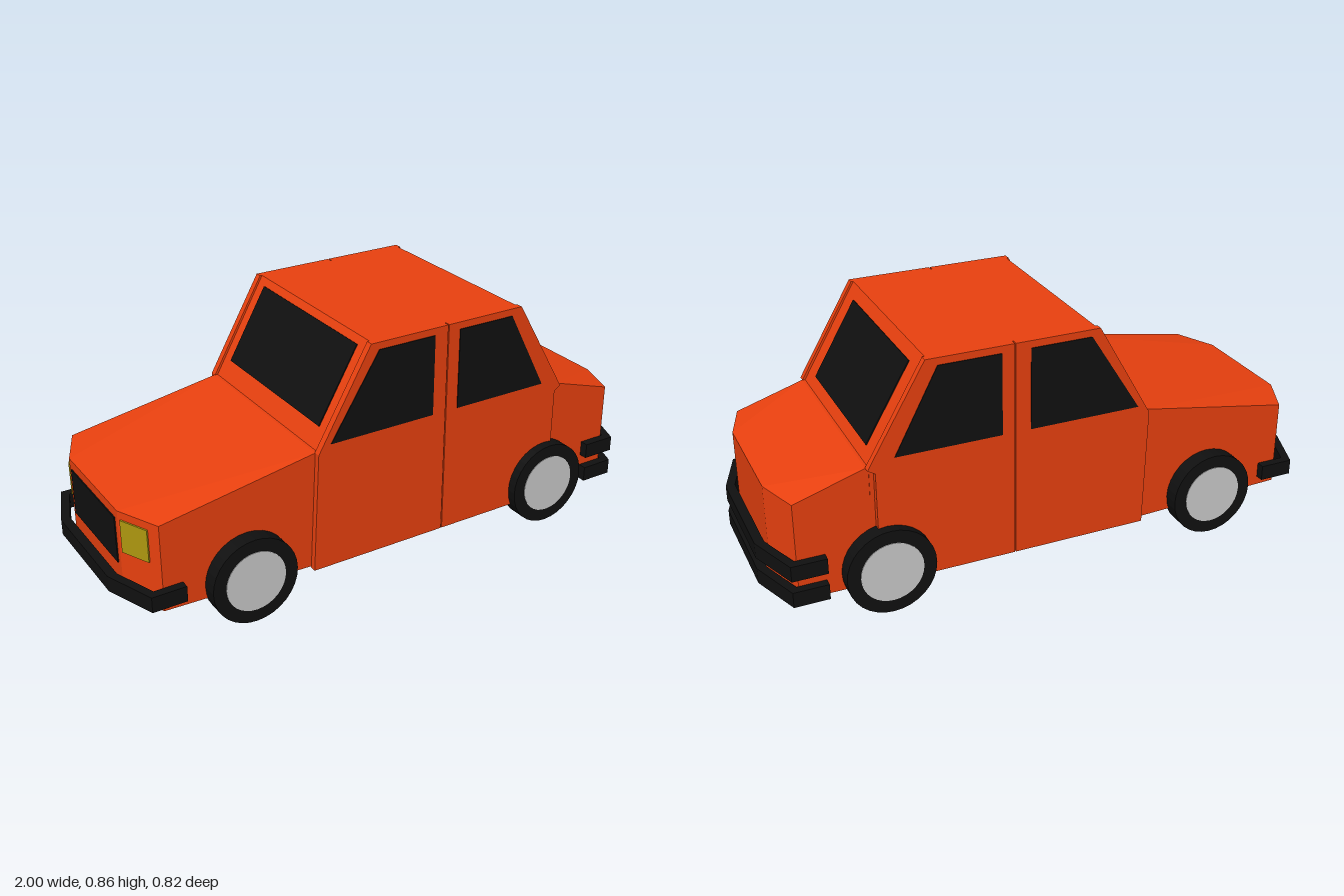
import * as THREE from 'three';
import { ConvexGeometry } from 'three/addons/geometries/ConvexGeometry.js';

const mat = (color) => new THREE.MeshStandardMaterial({ color, flatShading: true });

export function createModel() {
  const car = new THREE.Group();
  car.name = 'car';
  const paint = mat(0xeb410f), black = mat(0x101010), lamp = mat(0xb09a10), grey = mat(0xcccccc);

  const add = (name, geometry, material) => {
    const mesh = new THREE.Mesh(geometry, material);
    mesh.name = name;
    car.add(mesh);
    return mesh;
  };
  // Side outline (x, y) extruded from z0 to z1
  const slab = (name, pts, z0, z1, material) => {
    const shape = new THREE.Shape(pts.map((p) => new THREE.Vector2(...p)));
    const mesh = add(name, new THREE.ExtrudeGeometry(shape, { depth: z1 - z0, bevelEnabled: false }), material);
    mesh.position.z = z0;
    return mesh;
  };
  // Thin box lying along the line from a to b in the (x, y) plane
  const pane = (name, a, b, width, material) => {
    const dx = b[0] - a[0], dy = b[1] - a[1];
    const mesh = add(name, new THREE.BoxGeometry(Math.hypot(dx, dy), 0.008, width), material);
    mesh.position.set((a[0] + b[0]) / 2, (a[1] + b[1]) / 2, 0);
    mesh.rotation.z = Math.atan2(dy, dx);
    return mesh;
  };

  // Lower body: stations of x, half width, bottom and top
  const hull = [];
  for (const [x, w, y0, y1] of [
    [-0.95, 0.2, 0.115, 0.42], [-0.88, 0.353, 0.113, 0.42], [-0.33, 0.353, 0.095, 0.515],
    [0.665, 0.353, 0.091, 0.515], [0.905, 0.353, 0.09, 0.44], [0.957, 0.2, 0.09, 0.44],
  ]) {
    for (const z of [-w, w]) hull.push(new THREE.Vector3(x, y0, z), new THREE.Vector3(x, y1, z));
  }
  add('lowerBody', new ConvexGeometry(hull), paint);

  // Cabin core, set slightly inside the pillars
  slab('cabin', [[-0.32, 0.4], [0.655, 0.4], [0.655, 0.515], [0.457, 0.855], [-0.127, 0.855], [-0.32, 0.515]],
    -0.355, 0.355, paint);
  pane('windshield', [-0.285, 0.577], [-0.141, 0.83], 0.61, black);
  pane('rearWindow', [0.633, 0.553], [0.48, 0.815], 0.555, black);

  // Door panels with side windows
  for (const s of [-1, 1]) {
    const side = s > 0 ? 'left' : 'right';
    const panel = (name, pts, a, b, m) => slab(side + name, pts, Math.min(s * a, s * b), Math.max(s * a, s * b), m);
    const sill = s > 0 ? -0.35 : -0.32;
    panel('FrontDoor', [[sill, 0.09], [0.162, 0.09], [0.162, 0.855], [-0.135, 0.855], [-0.33, 0.515]], 0.35, 0.375, paint);
    panel('RearDoor', [[0.166, 0.09], [0.64, 0.09], [0.64, 0.5], [0.665, 0.515], [0.465, 0.855], [0.166, 0.855]],
      0.35, 0.375, paint);
    panel('FrontWindow', [[-0.285, 0.545], [0.11, 0.545], [0.11, 0.83], [-0.105, 0.83]], 0.37, 0.378, black);
    panel('RearSideWindow', [[0.21, 0.545], [0.575, 0.545], [0.425, 0.83], [0.21, 0.83]], 0.37, 0.378, black);

    // Headlight on the slanted nose corner
    const light = add(side + 'Headlight', new THREE.BoxGeometry(0.01, 0.115, 0.11), lamp);
    light.position.set(-0.922, 0.335, s * 0.262);
    light.rotation.y = s * Math.atan2(0.07, 0.153);

    // Wheels
    for (const [end, x] of [['Front', -0.585], ['Rear', 0.61]]) {
      const tyre = add(side + end + 'Tyre', new THREE.CylinderGeometry(0.152, 0.152, 0.068, 32), black);
      const hub = add(side + end + 'Hub', new THREE.CylinderGeometry(0.107, 0.107, 0.01, 32), grey);
      tyre.position.set(x, 0.152, s * 0.375);
      hub.position.set(x, 0.152, s * 0.406);
      tyre.rotation.x = hub.rotation.x = Math.PI / 2;
    }
  }

  // Grille
  add('grille', new THREE.BoxGeometry(0.01, 0.165, 0.36), black).position.set(-0.949, 0.305, 0);

  // Wrap-around bumpers: half outline of (x, z), mirrored and extruded upwards
  const bumper = (name, dir, y) => {
    const outer = [[0.812, 0.383], [0.932, 0.383], [1, 0.2]];
    const inner = [[0.968, 0.2], [0.912, 0.353], [0.812, 0.353]];
    const flip = (pts) => pts.map(([x, z]) => [x, -z]).reverse();
    const pts = [...outer, ...flip(outer), ...flip(inner), ...inner];
    const shape = new THREE.Shape(pts.map(([x, z]) => new THREE.Vector2(dir * x, z)));
    const mesh = add(name, new THREE.ExtrudeGeometry(shape, { depth: 0.055, bevelEnabled: false }), black);
    mesh.rotation.x = -Math.PI / 2;
    mesh.position.y = y;
  };
  bumper('frontBumper', -1, 0.143);
  bumper('rearUpperBumper', 1, 0.185);
  bumper('rearLowerBumper', 1, 0.089);

  return car;
}
